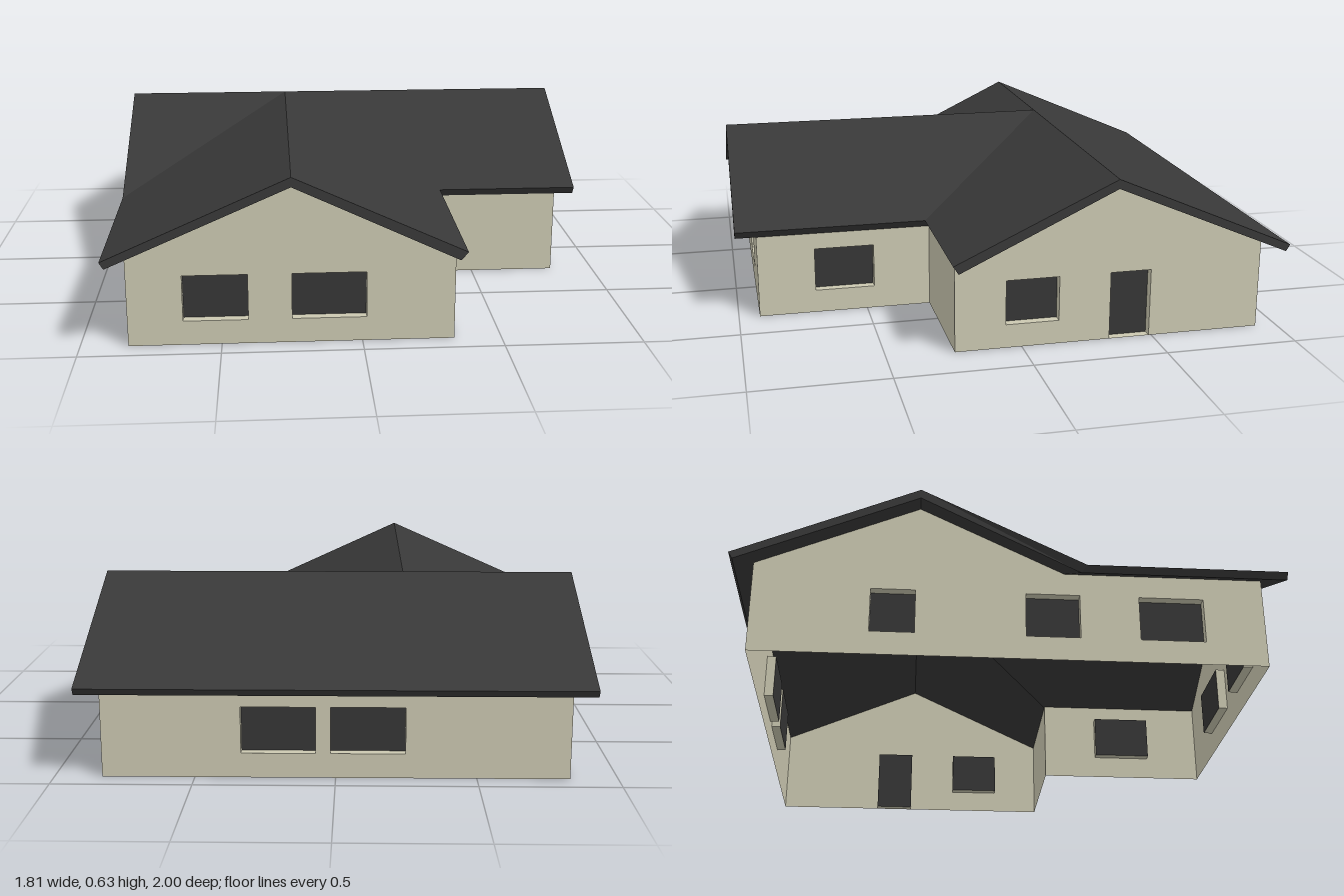
import * as THREE from 'three';

const wallPaint = new THREE.MeshStandardMaterial({ name: 'cream wall', color: 0xcbc8b1, side: THREE.DoubleSide });
const roofing = new THREE.MeshStandardMaterial({ name: 'charcoal roof', color: 0x383838 });
const glazing = new THREE.MeshStandardMaterial({ name: 'dark glass', color: 0x363636, side: THREE.DoubleSide });

const REVEAL = 0.035;
const SILL = 0.09, HEAD = 0.26;

function addMesh(parent, name, geometry, material) {
  const mesh = new THREE.Mesh(geometry, material);
  mesh.name = name;
  parent.add(mesh);
  return mesh;
}

// Recessed opening: four reveal faces and a pane at the back of them
function addOpening(parent, name, u0, u1, y0, y1) {
  const w = u1 - u0, h = y1 - y0, cx = (u0 + u1) / 2, cy = (y0 + y1) / 2;
  const box = new THREE.BoxGeometry(w, h, REVEAL);
  box.setIndex(Array.from(box.index.array.slice(0, 24)));
  box.clearGroups();
  addMesh(parent, name + 'Reveal', box, wallPaint).position.set(cx, cy, -REVEAL / 2);
  addMesh(parent, name + 'Pane', new THREE.PlaneGeometry(w, h), glazing).position.set(cx, cy, -REVEAL);
}

// Upright wall drawn in its own plane (u across, y up), then turned to face outward
function makeWall(name, outline, windows, angle, x, z) {
  const wall = new THREE.Group();
  wall.name = name;
  const shape = new THREE.Shape(outline.map(([u, y]) => new THREE.Vector2(u, y)));
  for (const [a, b] of windows) {
    shape.holes.push(new THREE.Path([[a, SILL], [a, HEAD], [b, HEAD], [b, SILL]]
      .map(([u, y]) => new THREE.Vector2(u, y))));
    addOpening(wall, 'window', a, b, SILL, HEAD);
  }
  addMesh(wall, name + 'Surface', new THREE.ShapeGeometry(shape), wallPaint);
  wall.rotation.y = angle;
  wall.position.set(x, 0, z);
  return wall;
}

// Roof of two crossing gables with valleys: each corner has a top and an underside point
function makeRoof() {
  const corners = {
    ridgeLeft: [[-0.905, 0.635, -0.33], [-0.905, 0.6, -0.33]],
    ridgeRight: [[0.905, 0.635, -0.33], [0.905, 0.6, -0.33]],
    ridgeMeet: [[-0.25, 0.635, -0.33], [-0.25, 0.6, -0.33]],
    ridgeFront: [[-0.25, 0.635, 1], [-0.25, 0.6, 1]],
    backLeft: [[-0.905, 0.345, -1], [-0.905, 0.32, -0.985]],
    backRight: [[0.905, 0.345, -1], [0.905, 0.32, -0.985]],
    eaveRight: [[0.905, 0.355, 0.27], [0.905, 0.325, 0.25]],
    valleyRight: [[0.36, 0.355, 0.27], [0.335, 0.325, 0.25]],
    wingRight: [[0.36, 0.355, 1], [0.335, 0.325, 1]],
    wingLeft: [[-0.905, 0.345, 1], [-0.89, 0.32, 1]],
    valleyLeft: [[-0.905, 0.345, 0.27], [-0.89, 0.32, 0.25]],
  };
  const slopes = [
    ['backLeft', 'ridgeLeft', 'ridgeRight', 'backRight'],
    ['ridgeMeet', 'valleyRight', 'eaveRight', 'ridgeRight'],
    ['ridgeLeft', 'valleyLeft', 'ridgeMeet'],
    ['ridgeMeet', 'valleyLeft', 'wingLeft', 'ridgeFront'],
    ['ridgeMeet', 'ridgeFront', 'wingRight', 'valleyRight'],
  ];
  const rim = ['ridgeLeft', 'valleyLeft', 'wingLeft', 'ridgeFront', 'wingRight',
    'valleyRight', 'eaveRight', 'ridgeRight', 'backRight', 'backLeft'];
  const positions = [];
  const face = (pts) => {
    for (let i = 1; i < pts.length - 1; i++) positions.push(...pts[0], ...pts[i], ...pts[i + 1]);
  };
  for (const slope of slopes) {
    face(slope.map((k) => corners[k][0]));
    face(slope.map((k) => corners[k][1]).reverse());
  }
  // Fascia round the edge
  rim.forEach((k, i) => {
    const p = corners[k], q = corners[rim[(i + 1) % rim.length]];
    face([p[0], p[1], q[1], q[0]]);
  });
  const geometry = new THREE.BufferGeometry();
  geometry.setAttribute('position', new THREE.Float32BufferAttribute(positions, 3));
  geometry.computeVertexNormals();
  const roof = new THREE.Mesh(geometry, roofing);
  roof.name = 'roof';
  return roof;
}

export function createModel() {
  const house = new THREE.Group();
  house.name = 'house';
  const quarter = Math.PI / 2;

  // Front gable of the wing
  house.add(makeWall('frontGableWall',
    [[-0.83, 0], [0.33, 0], [0.33, 0.327], [-0.25, 0.6], [-0.83, 0.346]],
    [[-0.635, -0.405], [-0.25, 0.015]], 0, 0, 0.92));

  // Short front wall beside the wing
  house.add(makeWall('frontSideWall',
    [[0.33, 0], [0.83, 0], [0.83, 0.325], [0.33, 0.325]], [], 0, 0, 0.25));

  // Wing side wall (u runs towards the back)
  house.add(makeWall('wingSideWall',
    [[-0.92, 0], [-0.25, 0], [-0.25, 0.327], [-0.92, 0.327]],
    [[-0.7, -0.47]], quarter, 0.33, 0));

  // Gable with the door notched into its foot
  const doorWall = makeWall('doorGableWall',
    [[-0.25, 0], [0.335, 0], [0.335, HEAD], [0.49, HEAD], [0.49, 0], [0.92, 0],
      [0.92, 0.348], [0.33, 0.6], [-0.25, 0.325]],
    [[-0.06, 0.14]], quarter, 0.83, 0);
  addOpening(doorWall, 'door', 0.335, 0.49, 0, HEAD);
  house.add(doorWall);

  // Back wall (u runs towards -x)
  house.add(makeWall('backWall',
    [[-0.83, 0], [0.83, 0], [0.83, 0.348], [-0.83, 0.348]],
    [[-0.335, -0.07], [-0.018, 0.247]], Math.PI, 0, -0.92));

  // Long side wall with one gable (u runs towards the front)
  house.add(makeWall('longSideWall',
    [[-0.92, 0], [0.92, 0], [0.92, 0.346], [0.196, 0.346], [-0.33, 0.6], [-0.92, 0.348]],
    [[-0.5, -0.34], [0.055, 0.25], [0.465, 0.7]], -quarter, -0.83, 0));

  house.add(makeRoof());
  return house;
}
